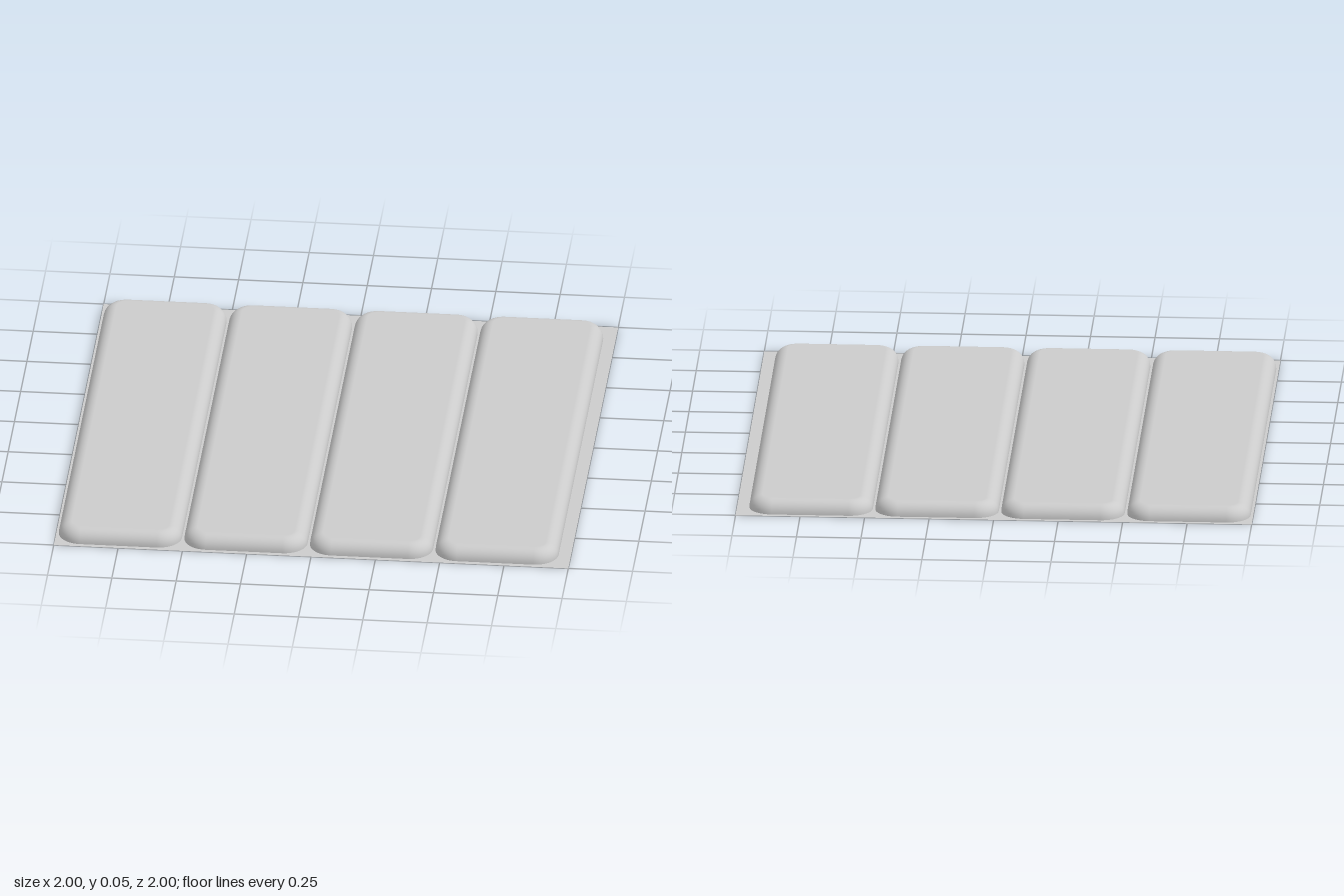
import * as THREE from 'three';

const WIDTH = 0.478, LENGTH = 1.965, HEIGHT = 0.054;
const CORNER = 0.09, ROUND = 0.05, PITCH = 0.488;
const CORNER_STEPS = 10, ROUND_STEPS = 8;

// Padded slat: rounded-rectangle loops that step inward along a quarter round, then a flat top
function slatGeometry() {
  const positions = [], normals = [], index = [];
  const perLoop = 4 * (CORNER_STEPS + 1);
  for (let i = 0; i <= ROUND_STEPS; i++) {
    const t = (i / ROUND_STEPS) * Math.PI / 2;
    const radius = CORNER - ROUND * (1 - Math.cos(t));
    const y = HEIGHT - ROUND * (1 - Math.sin(t));
    for (let c = 0; c < 4; c++) {
      const sx = c === 0 || c === 3 ? 1 : -1, sz = c < 2 ? 1 : -1;
      for (let k = 0; k <= CORNER_STEPS; k++) {
        const a = (c + k / CORNER_STEPS) * Math.PI / 2;
        positions.push(
          sx * (WIDTH / 2 - CORNER) + radius * Math.cos(a),
          i === 0 ? 0 : y,
          sz * (LENGTH / 2 - CORNER) + radius * Math.sin(a));
        normals.push(Math.cos(t) * Math.cos(a), Math.sin(t), Math.cos(t) * Math.sin(a));
      }
    }
  }
  for (let i = 0; i < ROUND_STEPS; i++) {
    for (let j = 0; j < perLoop; j++) {
      const a = i * perLoop + j, b = i * perLoop + (j + 1) % perLoop;
      index.push(a, a + perLoop, b, b, a + perLoop, b + perLoop);
    }
  }
  // Flat top
  const centre = positions.length / 3, last = ROUND_STEPS * perLoop;
  positions.push(0, HEIGHT, 0);
  normals.push(0, 1, 0);
  for (let j = 0; j < perLoop; j++) index.push(last + j, centre, last + (j + 1) % perLoop);

  const geometry = new THREE.BufferGeometry();
  geometry.setAttribute('position', new THREE.Float32BufferAttribute(positions, 3));
  geometry.setAttribute('normal', new THREE.Float32BufferAttribute(normals, 3));
  geometry.setIndex(index);
  return geometry;
}

export function createModel() {
  const group = new THREE.Group();
  group.name = 'slattedPanel';
  const material = new THREE.MeshStandardMaterial({ color: 0xcccccc, side: THREE.DoubleSide });

  // Thin backing sheet, which also closes the undersides of the slats
  const sheet = new THREE.Mesh(new THREE.PlaneGeometry(2, 2).rotateX(-Math.PI / 2), material);
  sheet.name = 'backingSheet';
  group.add(sheet);

  // Four slats side by side, starting near the -x edge
  const geometry = slatGeometry();
  for (let i = 0; i < 4; i++) {
    const slat = new THREE.Mesh(geometry, material);
    slat.name = `slat${i + 1}`;
    slat.position.x = -0.751 + i * PITCH;
    group.add(slat);
  }
  return group;
}
